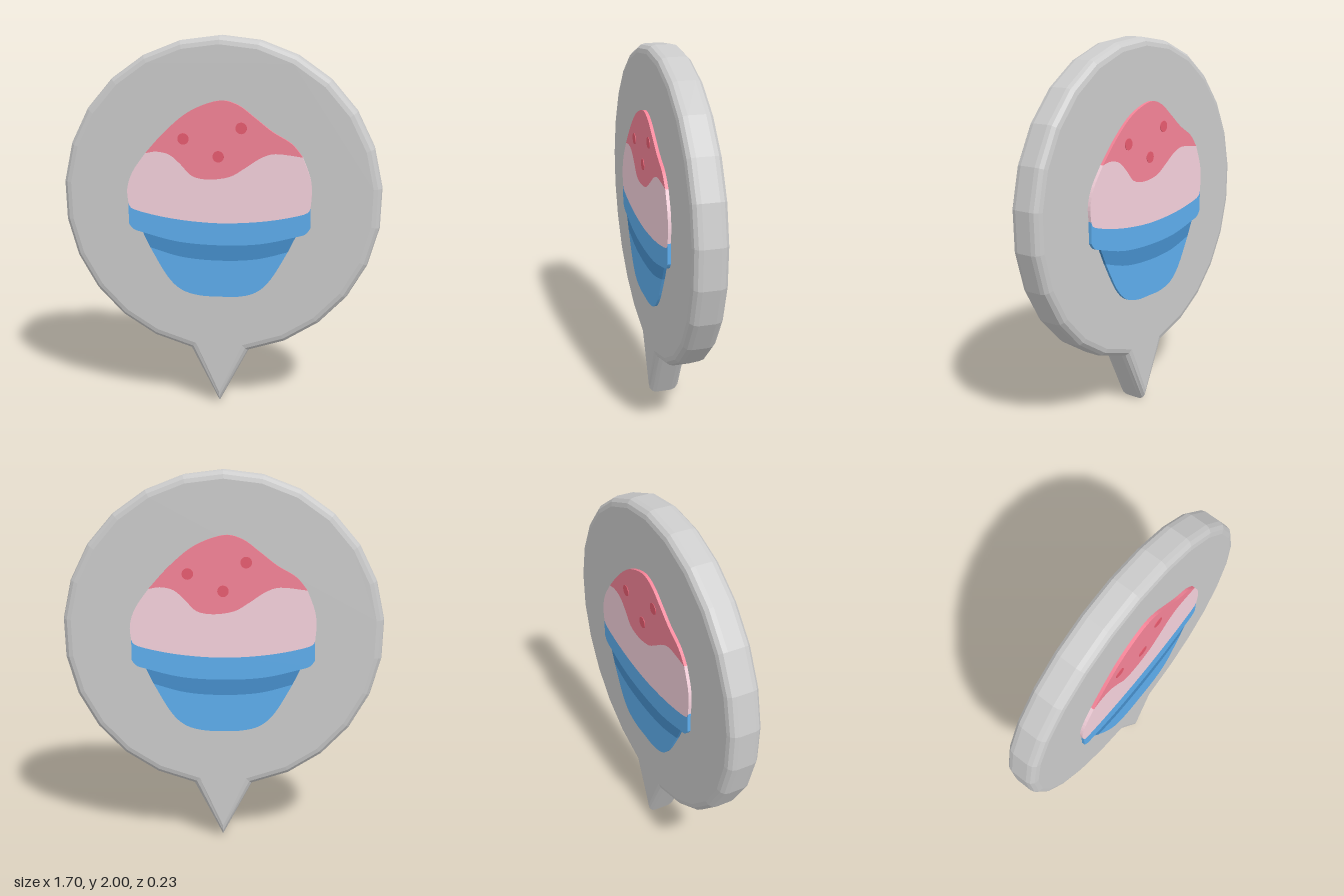
import * as THREE from 'three';

const mat = (color) => new THREE.MeshStandardMaterial({ color });
const vec = ([x, y]) => new THREE.Vector2(x, y);

// Smooth run of points through a few control points
const smooth = (pts, n = 24) => new THREE.SplineCurve(pts.map(vec)).getPoints(n);

// Closed outline from several runs joined end to end
function outline(...runs) {
  const pts = [];
  for (const p of runs.flat()) {
    if (!pts.length || pts[pts.length - 1].distanceTo(p) > 1e-4) pts.push(p);
  }
  if (pts[0].distanceTo(pts[pts.length - 1]) < 1e-4) pts.pop();
  return new THREE.Shape(pts);
}
const reversed = (run) => [...run].reverse();

// Thin flat plate standing just off the badge face
function plate(name, shape, material, z0 = 0.095, z1 = 0.112) {
  const geo = new THREE.ExtrudeGeometry(shape, { depth: z1 - z0, bevelEnabled: false, curveSegments: 12 });
  geo.translate(0, 0, z0);
  const mesh = new THREE.Mesh(geo, material);
  mesh.name = name;
  return mesh;
}

// Round badge with a pointed tail and rounded rim
function createBadge() {
  const radius = 0.855, centreY = 1.145, half = THREE.MathUtils.degToRad(169.3), sides = 24;
  const pts = [new THREE.Vector2(0, 0)];
  for (let i = 0; i <= sides; i++) {
    const a = half - (2 * half * i) / sides;
    pts.push(new THREE.Vector2(radius * Math.sin(a), centreY + radius * Math.cos(a)));
  }
  const bevel = 0.045, thickness = 0.178;
  const geo = new THREE.ExtrudeGeometry(new THREE.Shape(pts), {
    depth: thickness - 2 * bevel, bevelEnabled: true, bevelThickness: bevel,
    bevelSize: bevel, bevelOffset: -bevel, bevelSegments: 3,
  });
  geo.translate(0, 0, bevel - thickness / 2);
  const mesh = new THREE.Mesh(geo, mat(0xcccccc));
  mesh.name = 'badge';
  return mesh;
}

// Cupcake picture in coloured plates
function createCupcake() {
  const group = new THREE.Group();
  const blue = mat(0x5eaeee), darkBlue = mat(0x468fcc);
  const pink = mat(0xf68498), pale = mat(0xf6d2dd), red = mat(0xe85c70);

  // Shared boundary lines, all running left to right
  const icingTop = smooth([[-0.39, 1.39], [-0.28, 1.51], [-0.15, 1.615], [0, 1.67], [0.1, 1.65],
    [0.19, 1.585], [0.28, 1.515], [0.38, 1.455], [0.44, 1.385]], 40);
  const drip = smooth([[-0.39, 1.39], [-0.33, 1.4], [-0.26, 1.385], [-0.2, 1.335], [-0.14, 1.275],
    [-0.05, 1.258], [0.06, 1.275], [0.14, 1.322], [0.22, 1.375], [0.3, 1.4], [0.44, 1.385]], 40);
  const creamLeft = smooth([[-0.485, 1.12], [-0.49, 1.2], [-0.46, 1.29], [-0.39, 1.39]], 12);
  const creamRight = smooth([[0.44, 1.385], [0.48, 1.28], [0.49, 1.2], [0.485, 1.12]], 12);
  const rimTop = smooth([[-0.485, 1.12], [-0.45, 1.085], [-0.25, 1.043], [0, 1.025],
    [0.25, 1.043], [0.45, 1.085], [0.485, 1.12]]);
  const rimBottom = smooth([[-0.485, 1.01], [-0.46, 0.98], [-0.41, 0.963], [-0.22, 0.918], [0, 0.905],
    [0.22, 0.918], [0.41, 0.963], [0.46, 0.98], [0.485, 1.01]], 32);
  const bandTop = smooth([[-0.41, 0.963], [-0.22, 0.918], [0, 0.905], [0.22, 0.918], [0.41, 0.963]]);
  const bandBottom = smooth([[-0.37, 0.88], [-0.2, 0.834], [0, 0.82], [0.2, 0.834], [0.37, 0.88]]);
  const cupBottom = smooth([[-0.37, 0.88], [-0.28, 0.725], [-0.2, 0.65], [-0.1, 0.622], [0, 0.62],
    [0.1, 0.622], [0.2, 0.65], [0.28, 0.725], [0.37, 0.88]], 32);

  group.add(
    plate('icing', outline(drip, reversed(icingTop)), pink),
    plate('cream', outline(rimTop, reversed(creamRight), reversed(drip), reversed(creamLeft)), pale),
    plate('cupRim', outline(rimBottom, reversed(rimTop)), blue),
    plate('cupBand', outline(bandBottom, reversed(bandTop)), darkBlue, 0.095, 0.109),
    plate('cup', outline(cupBottom, reversed(bandBottom)), blue, 0.095, 0.109),
  );

  // Sprinkles
  for (const [x, y] of [[-0.185, 1.47], [0, 1.38], [0.12, 1.53]]) {
    const dot = new THREE.Shape().absarc(x, y, 0.03, 0, Math.PI * 2);
    group.add(plate('sprinkle', dot, red, 0.1, 0.115));
  }
  return group;
}

export function createModel() {
  const model = new THREE.Group();
  model.name = 'cupcakeMarker';
  const front = createCupcake();
  front.name = 'frontCupcake';
  const back = front.clone();
  back.name = 'backCupcake';
  back.rotation.y = Math.PI;
  model.add(createBadge(), front, back);
  return model;
}
